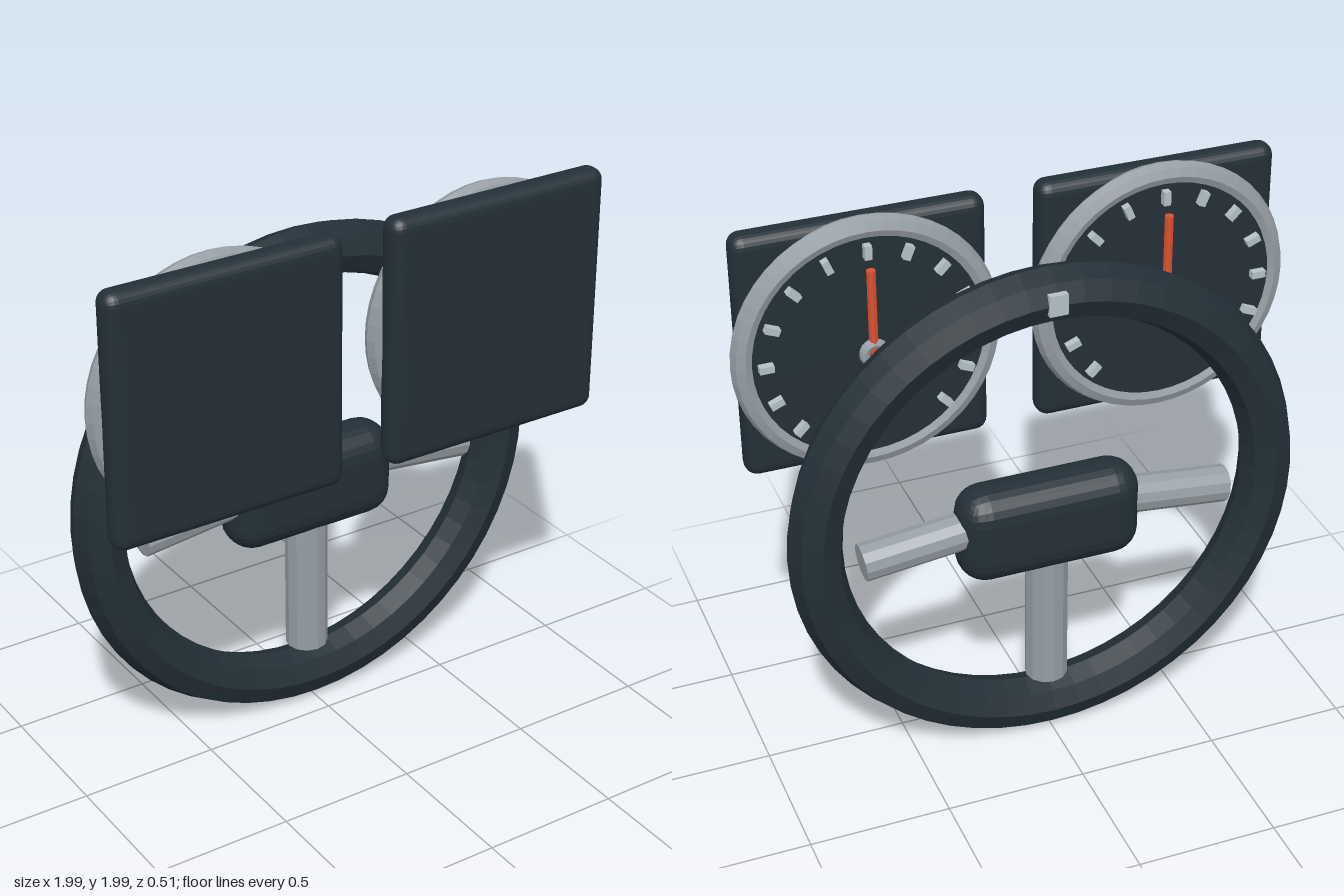
import * as THREE from 'three';
import { RoundedBoxGeometry } from 'three/addons/geometries/RoundedBoxGeometry.js';

function flatMaterial(name, color) {
  const m = new THREE.MeshStandardMaterial({ color, flatShading: true });
  m.name = name;
  return m;
}

export function createModel() {
  const charcoal = flatMaterial('charcoal', 0x232f37);
  const steel = flatMaterial('steel', 0x969ea4);
  const paleGrey = flatMaterial('paleGrey', 0xb4c1c6);
  const red = flatMaterial('needleRed', 0xd9502f);

  const model = new THREE.Group();
  model.name = 'steeringWheelAndGauges';

  function add(parent, name, geometry, material, x = 0, y = 0, z = 0) {
    const mesh = new THREE.Mesh(geometry, material);
    mesh.name = name;
    mesh.position.set(x, y, z);
    parent.add(mesh);
    return mesh;
  }

  // Steering wheel
  const wheel = new THREE.Group();
  wheel.name = 'steeringWheel';
  wheel.position.z = -0.147;
  model.add(wheel);
  add(wheel, 'rim', new THREE.TorusGeometry(0.828, 0.096, 8, 56), charcoal, 0, 0.934, 0);
  add(wheel, 'hub', new RoundedBoxGeometry(0.66, 0.355, 0.213, 3, 0.1), charcoal, 0, 0.88, 0);
  add(wheel, 'rimMarker', new THREE.BoxGeometry(0.065, 0.075, 0.03), paleGrey, 0, 1.765, -0.088);

  // Spokes
  add(wheel, 'lowerSpoke', new THREE.CylinderGeometry(0.076, 0.076, 0.56, 12), steel, 0, 0.5, 0);
  for (const side of [-1, 1]) {
    const spoke = add(wheel, side > 0 ? 'leftSpoke' : 'rightSpoke',
      new THREE.CylinderGeometry(0.067, 0.067, 0.42, 12), steel, side * 0.46, 0.886, 0);
    spoke.rotation.z = Math.PI / 2 - side * 0.11;
  }

  // Gauge with its dial facing the wheel
  function gauge(name, x) {
    const g = new THREE.Group();
    g.name = name;
    g.position.set(x, 1.532, 0);
    model.add(g);
    add(g, 'backPanel', new RoundedBoxGeometry(0.87, 0.905, 0.102, 3, 0.045), charcoal, 0, 0, 0.202);
    add(g, 'bezel', new THREE.TorusGeometry(0.428, 0.042, 8, 48), steel, 0, 0, 0.144);
    const dial = add(g, 'dial', new THREE.CylinderGeometry(0.425, 0.425, 0.06, 48), charcoal, 0, 0, 0.142);
    dial.rotation.x = Math.PI / 2;

    // Tick marks sweep 270 degrees, open at the bottom
    const tickGeometry = new THREE.BoxGeometry(0.025, 0.05, 0.032);
    for (let i = -6; i <= 6; i++) {
      const a = i * Math.PI / 8;
      const tick = add(g, 'tick', tickGeometry, paleGrey, Math.sin(a) * 0.36, Math.cos(a) * 0.36, 0.1);
      tick.rotation.z = -a;
    }

    // Needle and its pivot ring
    add(g, 'needle', new THREE.CylinderGeometry(0.016, 0.016, 0.31, 8), red, 0, 0.152, 0.069);
    add(g, 'needlePivot', new THREE.TorusGeometry(0.034, 0.018, 8, 20), steel, 0, 0, 0.069);
    const axle = add(g, 'needleAxle', new THREE.CylinderGeometry(0.012, 0.012, 0.05, 8), steel, 0, 0, 0.095);
    axle.rotation.x = Math.PI / 2;
  }
  gauge('leftGauge', 0.527);
  gauge('rightGauge', -0.527);

  return model;
}
